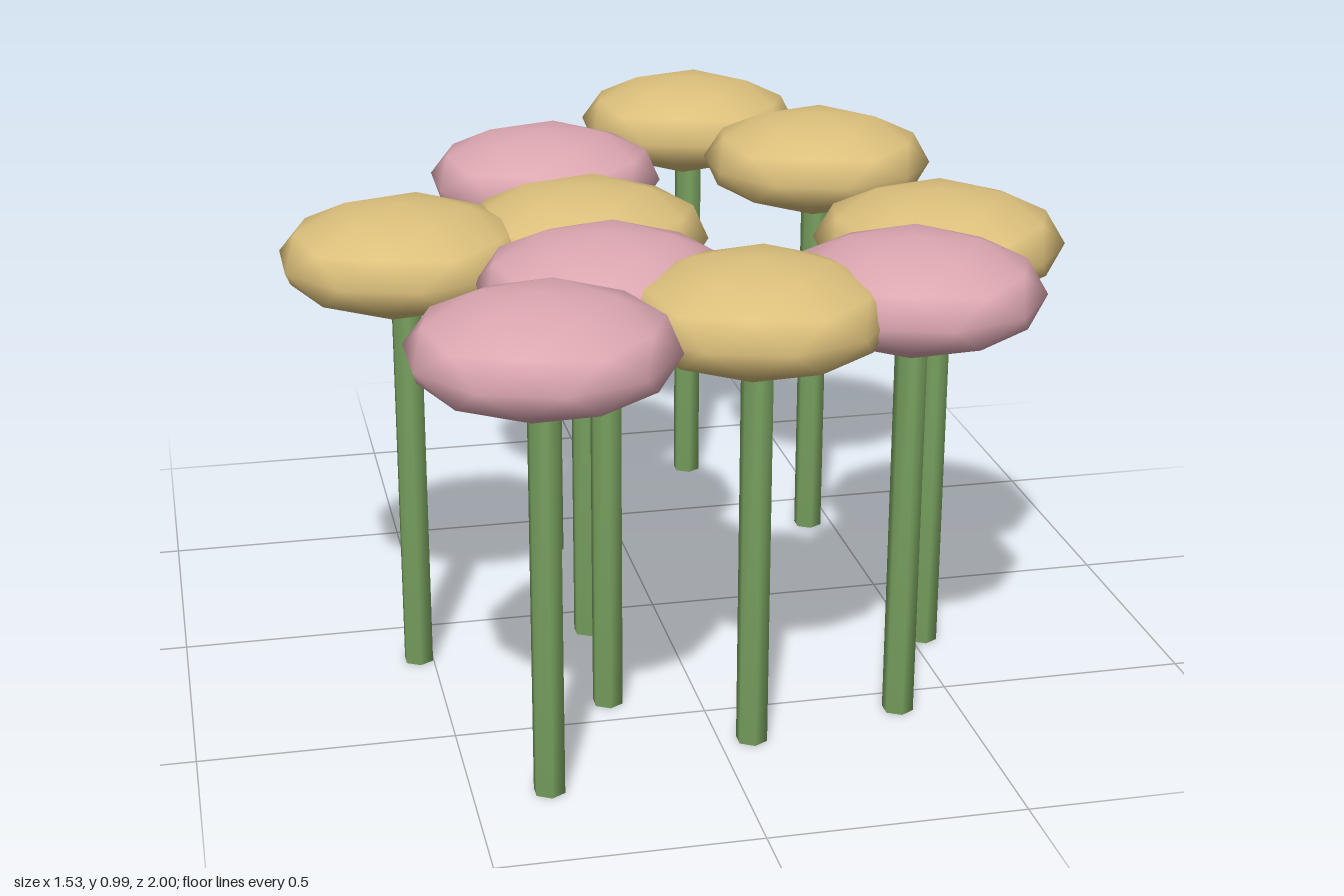
import * as THREE from 'three';
import { mergeVertices } from 'three/addons/utils/BufferGeometryUtils.js';

// Shares vertices so the shading runs smoothly over every edge
function smooth(geometry) {
  geometry.deleteAttribute('normal');
  geometry.deleteAttribute('uv');
  const merged = mergeVertices(geometry, 1e-4);
  merged.computeVertexNormals();
  return merged;
}

export function createModel() {
  const group = new THREE.Group();
  group.name = 'flowerPatch';

  const mat = (name, color) => {
    const m = new THREE.MeshStandardMaterial({ color });
    m.name = name;
    return m;
  };
  const yellow = mat('yellow', 0xdcc07c);
  const pink = mat('pink', 0xdca7b1);
  const green = mat('green', 0x78a15f);

  // Flattened icosphere, turned so that one corner points straight up
  const headGeometry = new THREE.IcosahedronGeometry(0.25, 1);
  headGeometry.rotateZ(-Math.atan(2 / (1 + Math.sqrt(5))));
  headGeometry.scale(1, 0.42, 1);
  const headShape = smooth(headGeometry);

  // Six-sided stem that ends inside the head
  const stemShape = smooth(new THREE.CylinderGeometry(0.0315, 0.0315, 0.88, 6));

  // x, z and colour of each flower
  const flowers = [
    [0.243, -0.75, yellow],
    [0.446, -0.36, yellow],
    [-0.166, -0.345, pink],
    [-0.529, 0.153, yellow],
    [-0.16, 0.093, yellow],
    [-0.181, 0.42, pink],
    [-0.356, 0.748, pink],
    [0.064, 0.63, yellow],
    [0.38, 0.567, pink],
    [0.524, 0.272, yellow],
  ];

  for (const [x, z, color] of flowers) {
    const flower = new THREE.Group();
    flower.name = 'flower';
    flower.position.set(x, 0, z);

    const stem = new THREE.Mesh(stemShape, green);
    stem.name = 'stem';
    stem.position.y = 0.44;

    const head = new THREE.Mesh(headShape, color);
    head.name = 'flowerHead';
    head.position.y = 0.88;

    flower.add(stem, head);
    group.add(flower);
  }
  return group;
}
